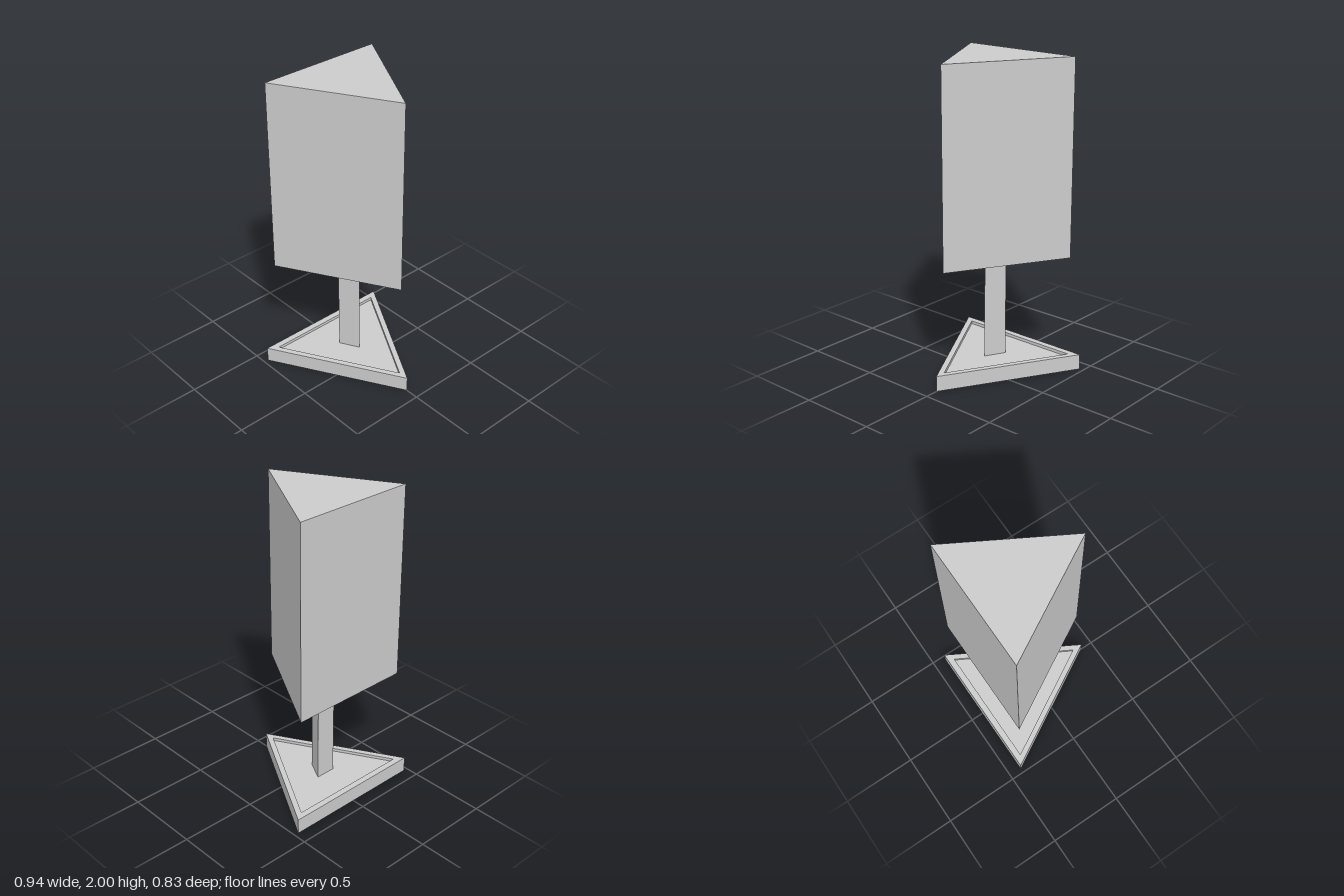
import * as THREE from 'three';

const material = new THREE.MeshStandardMaterial({ color: 0xcccccc, flatShading: true });

// Triangle in plan: back edge at zBack, point at zFront (shape y is -z)
const corners = ({ halfWidth, zBack, zFront }) => [
  new THREE.Vector2(0, -zFront),
  new THREE.Vector2(halfWidth, -zBack),
  new THREE.Vector2(-halfWidth, -zBack),
];

// Upright triangular prism from y0 to y1, with an optional triangular opening
function prism(name, plan, y0, y1, opening) {
  const shape = new THREE.Shape(corners(plan));
  if (opening) shape.holes.push(new THREE.Path(corners(opening)));
  const geometry = new THREE.ExtrudeGeometry(shape, { depth: y1 - y0, bevelEnabled: false });
  geometry.rotateX(-Math.PI / 2).translate(0, y0, 0);
  const mesh = new THREE.Mesh(geometry, material);
  mesh.name = name;
  return mesh;
}

export function createModel() {
  const basePlan = { halfWidth: 0.472, zBack: -0.416, zFront: 0.414 };
  const bodyPlan = { halfWidth: 0.408, zBack: -0.375, zFront: 0.343 };
  const postPlan = { halfWidth: 0.067, zBack: -0.163, zFront: -0.037 };
  const floorY = 0.08;

  const model = new THREE.Group();
  model.name = 'triangularStand';

  // Base tray: slab with a raised rim around a shallow recess
  const base = new THREE.Group();
  base.name = 'base';
  base.add(
    prism('baseSlab', basePlan, 0, floorY),
    prism('baseRim', basePlan, floorY, 0.1, bodyPlan),
  );

  // Post rising from the recess, and the three-sided body on top
  model.add(
    base,
    prism('post', postPlan, floorY, 0.75),
    prism('body', bodyPlan, 0.75, 2),
  );
  return model;
}
